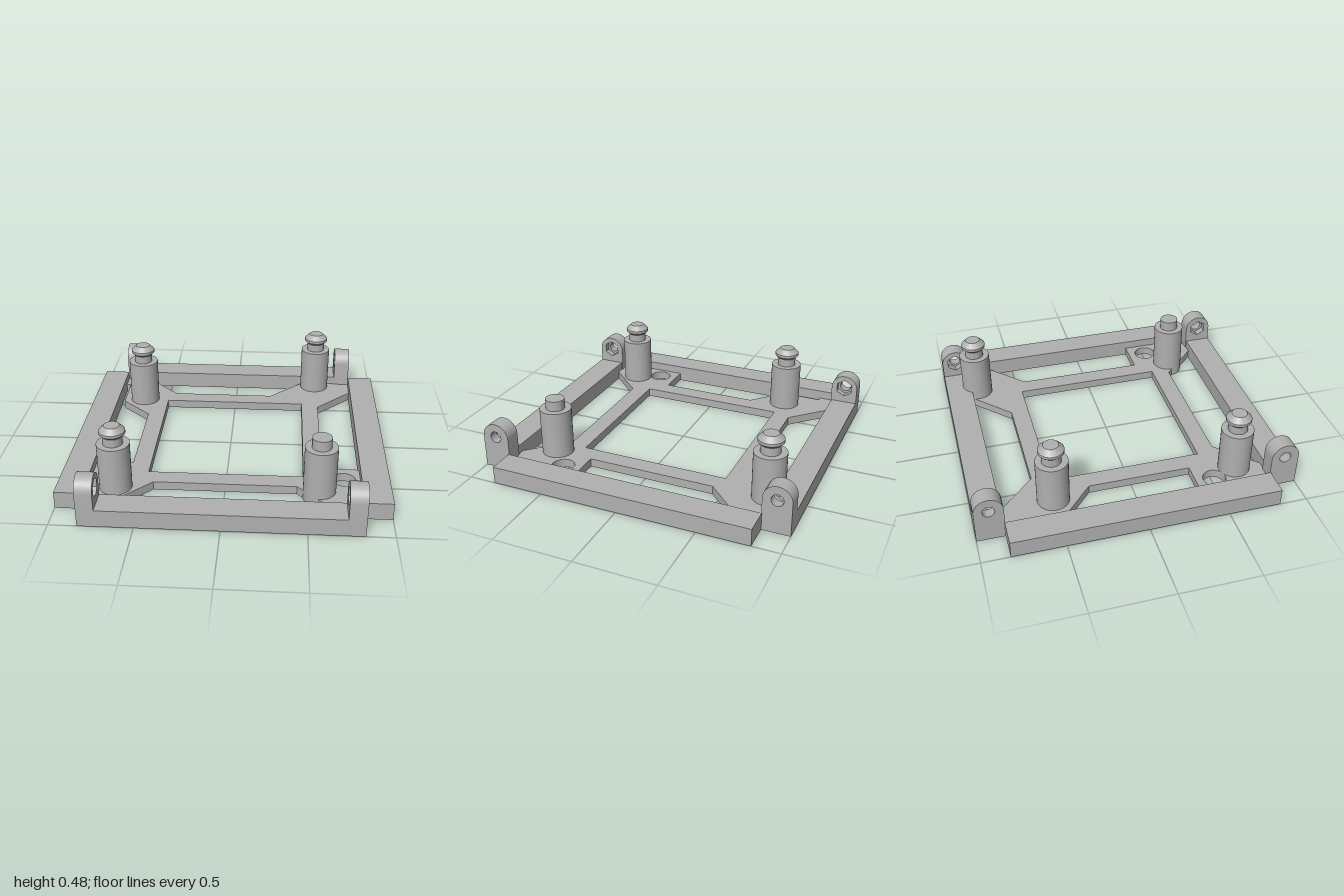
import * as THREE from 'three';
import { toCreasedNormals } from 'three/addons/utils/BufferGeometryUtils.js';

const RAIL_H = 0.11, PLATE_H = 0.055, HALF = 0.83;

const circle = (x, y, r) => new THREE.Path().absarc(x, y, r, 0, Math.PI * 2, true);
const polygon = (pts) => pts.map(([x, y]) => new THREE.Vector2(x, y));

export function createModel() {
  const group = new THREE.Group();
  const grey = new THREE.MeshStandardMaterial({ color: 0xb0b0b0 });
  grey.name = 'grey plastic';

  const add = (name, geometry, x = 0, y = 0, z = 0) => {
    const mesh = new THREE.Mesh(geometry, grey);
    mesh.name = name;
    mesh.position.set(x, y, z);
    group.add(mesh);
    return mesh;
  };

  // Post positions in x, z; the last post has no cap
  const posts = [[-0.655, -0.505], [0.575, -0.785], [-0.66, 0.655], [0.575, 0.625]];

  // Thin plate: inner frame with four corner gussets
  const plate = new THREE.Shape(polygon([
    [-0.83, -0.83], [-0.67, -0.83], [-0.44, -0.6], [0.255, -0.6], [0.49, -0.83], [0.83, -0.83],
    [0.83, -0.68], [0.595, -0.445], [0.595, 0.38], [0.83, 0.38], [0.83, 0.83], [0.67, 0.83],
    [0.44, 0.595], [-0.44, 0.595], [-0.67, 0.83], [-0.83, 0.83], [-0.83, 0.38], [-0.6, 0.38],
    [-0.6, -0.27], [-0.8, -0.455], [-0.8, -0.72], [-0.83, -0.72],
  ]));
  plate.holes.push(new THREE.Path(polygon([[-0.485, -0.485], [-0.485, 0.48], [0.48, 0.48], [0.48, -0.485]])));
  for (const s of [-1, 1]) plate.holes.push(circle(s * 0.73, 0.5, 0.072));
  for (const [x, z] of posts) plate.holes.push(circle(x, z, 0.03));
  const plateGeo = new THREE.ExtrudeGeometry(plate, { depth: PLATE_H, bevelEnabled: false, curveSegments: 24 });
  plateGeo.rotateX(Math.PI / 2);
  add('innerPlate', toCreasedNormals(plateGeo, 0.6), 0, PLATE_H, 0);

  // Outer rails
  const rail = 1 - HALF;
  for (const s of [-1, 1]) {
    add('sideRail', new THREE.BoxGeometry(rail, RAIL_H, 1.655), s * (1 - rail / 2), RAIL_H / 2, 0);
    add('endRail', new THREE.BoxGeometry(HALF * 2, RAIL_H, rail), 0, RAIL_H / 2, s * (1 - rail / 2));
  }

  // Hinge lugs: round hole on the outer side, hexagonal nut pocket on the inner side
  const lugSlice = (hole, depth) => {
    const shape = new THREE.Shape();
    shape.moveTo(-0.088, 0);
    shape.lineTo(0.088, 0);
    shape.lineTo(0.088, 0.213);
    shape.absarc(0, 0.213, 0.088, 0, Math.PI, false);
    shape.closePath();
    shape.holes.push(hole);
    const geo = new THREE.ExtrudeGeometry(shape, { depth, bevelEnabled: false, curveSegments: 24 });
    geo.translate(0, 0, -depth / 2);
    geo.rotateY(Math.PI / 2);
    return toCreasedNormals(geo, 0.6);
  };
  const hex = new THREE.Path(polygon(Array.from({ length: 6 }, (_, i) => {
    const a = Math.PI / 2 - i * Math.PI / 3;
    return [0.058 * Math.cos(a), 0.213 + 0.058 * Math.sin(a)];
  })));
  const outerLug = lugSlice(circle(0, 0.213, 0.037), 0.06);
  const innerLug = lugSlice(hex, 0.045);
  for (const sx of [-1, 1]) for (const sz of [-1, 1]) {
    add('hingeLugOuter', outerLug, sx * 0.8, 0, sz * 0.912);
    add('hingeLugInner', innerLug, sx * 0.7475, 0, sz * 0.912);
  }

  // Standoff posts with a blind screw hole from below
  const body = [[0, 0.3], [0.03, 0.3], [0.03, 0], [0.1, 0], [0.1, 0.36], [0.06, 0.36]];
  const cap = [[0.06, 0.412], [0.079, 0.43], [0.079, 0.448], [0.047, 0.48], [0, 0.48]];
  const plain = [[0.06, 0.425], [0, 0.425]];
  posts.forEach(([x, z], i) => {
    const profile = polygon([...body, ...(i < 3 ? cap : plain)]);
    const geo = toCreasedNormals(new THREE.LatheGeometry(profile, 40), 0.5);
    add(i < 3 ? 'cappedPost' : 'plainPost', geo, x, 0, z);
  });

  return group;
}
